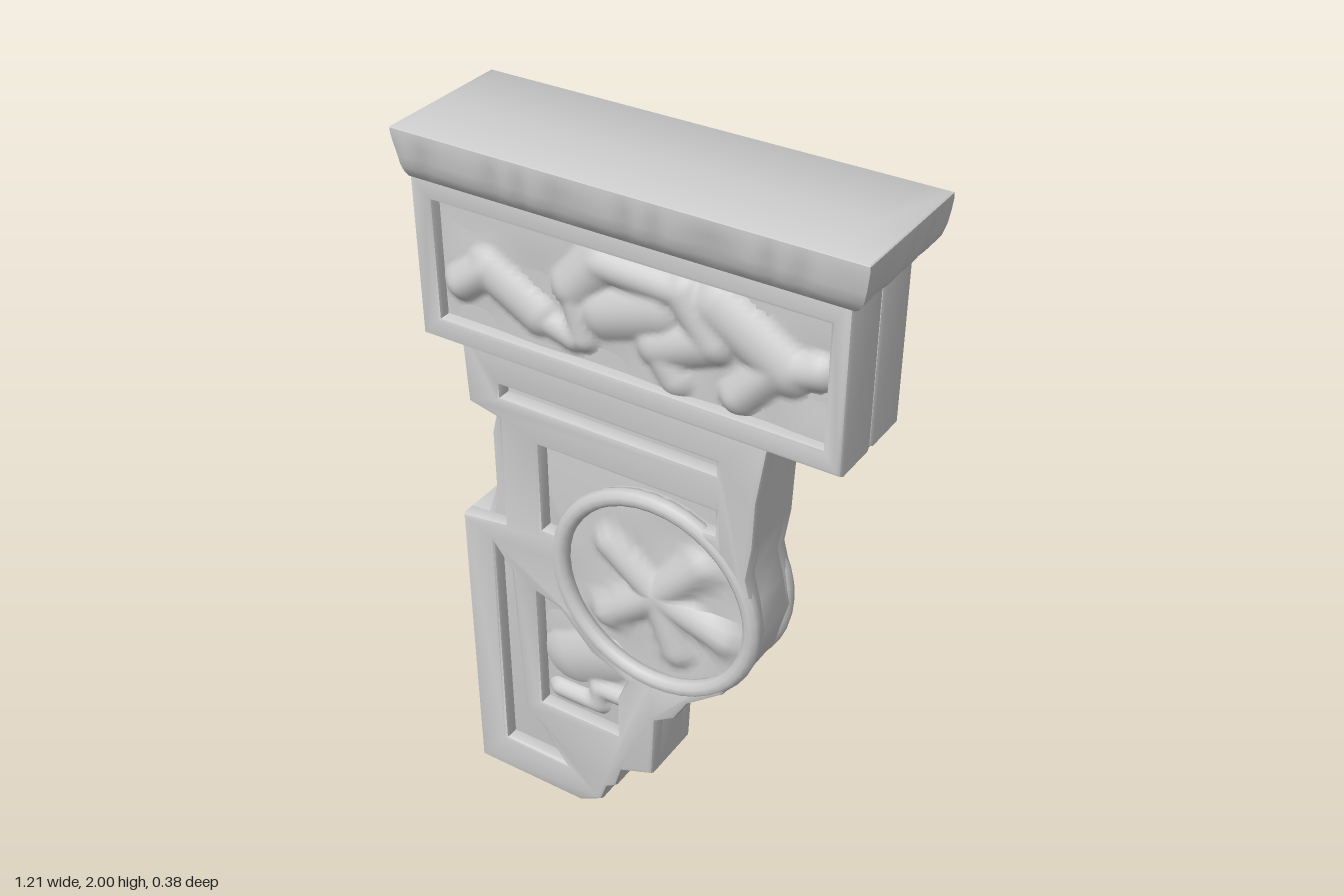
import * as THREE from 'three';
import { toCreasedNormals } from 'three/addons/utils/BufferGeometryUtils.js';

const stone = new THREE.MeshStandardMaterial({ color: 0xcccccc });
const DISC = { x: 0.02, y: 0.85, r: 0.27 };
const vec = (pts) => pts.map(([x, y]) => new THREE.Vector2(x, y));
const rect = (x0, y0, x1, y1) => [[x0, y0], [x1, y0], [x1, y1], [x0, y1]];
const arc = (r, from, to, n) => Array.from({ length: n + 1 }, (_, i) => {
  const a = THREE.MathUtils.degToRad(from + (to - from) * i / n);
  return [DISC.x + r * Math.cos(a), DISC.y + r * Math.sin(a)];
});

function add(group, name, geometry) {
  const mesh = new THREE.Mesh(geometry, stone);
  mesh.name = name;
  group.add(mesh);
}

// Slab between z0 and z1 with bevelled rims, optionally pierced by holes
function slab(outline, z0, z1, holes = [], b = 0.012) {
  const shape = new THREE.Shape(vec(outline));
  shape.holes = holes.map((h) => new THREE.Path(vec(h)));
  const geo = new THREE.ExtrudeGeometry(shape, {
    depth: z1 - z0 - 2 * b, bevelEnabled: b > 0, bevelThickness: b, bevelSize: b, bevelOffset: -b, bevelSegments: 2,
  });
  geo.translate(0, 0, z0 + b);
  return toCreasedNormals(geo, 0.75);
}

// Carved relief: each stroke [x1, y1, x2, y2, radius, height] raises a rounded ridge
function relief(geo, cx, cy, side, base, strokes) {
  if (side < 0) geo.rotateY(Math.PI);
  geo.translate(cx, cy, 0);
  const p = geo.attributes.position;
  for (let i = 0; i < p.count; i++) {
    const x = p.getX(i), y = p.getY(i);
    let h = 0.004 * Math.sin(x * 17) * Math.cos(y * 21);
    for (const [x1, y1, x2, y2, r, top] of strokes) {
      const dx = x2 - x1, dy = y2 - y1;
      const t = THREE.MathUtils.clamp(((x - x1) * dx + (y - y1) * dy) / (dx * dx + dy * dy), 0, 1);
      const d = Math.hypot(x - x1 - t * dx, y - y1 - t * dy) / r;
      if (d < 1) h = Math.max(h, top * (1 - d * d));
    }
    p.setZ(i, side * (base + h));
  }
  geo.computeVertexNormals();
  return geo;
}

// Cornice: stacked rings flaring on three sides, flat on the wall end
function corniceGeometry() {
  const path = []; // [x, z sign, outward x, scallop phase]
  const n = 72, m = 20;
  for (let i = 0; i <= n; i++) path.push([-0.61 + 1.15 * i / n, 1, i / n]);
  for (let i = 1; i < m; i++) path.push([0.54, 1 - 2 * i / m, 1]);
  for (let i = n; i >= 0; i--) path.push([-0.61 + 1.15 * i / n, -1, i / n]);
  const levels = [[1.86, 0, 0], [1.875, 0.016, 0.5], [1.9, 0.032, 1], [1.93, 0.04, 1],
    [1.96, 0.046, 0.5], [1.985, 0.05, 0.1], [1.998, 0.05, 0], [2, 0.047, 0], [2, 0.047, 0]];
  const pos = [], idx = [];
  levels.forEach(([y, out, wave], k) => path.forEach(([x, s, u], i) => {
    const w = wave * 0.011 * (Math.abs(Math.sin(i * 0.42 + Math.sin(i * 0.3))) - 0.6);
    const o = out + w;
    const z = k === levels.length - 1 ? 0 : s * (0.142 + o);
    pos.push(x + (u === 1 ? o + 0.005 : 0), y, z);
  }));
  const c = path.length;
  for (let k = 0; k < levels.length - 1; k++) {
    for (let i = 0; i < c; i++) {
      const a = k * c + i, b = k * c + (i + 1) % c;
      idx.push(a, b, b + c, a, b + c, a + c);
    }
  }
  const geo = new THREE.BufferGeometry();
  geo.setAttribute('position', new THREE.Float32BufferAttribute(pos, 3));
  geo.setIndex(idx);
  return toCreasedNormals(geo, 0.8);
}

export function createModel() {
  const model = new THREE.Group();
  model.name = 'corbelBracket';

  // Bracket outline: stepped foot, round belly, neck, wall side
  const front = [[-0.57, 0], [-0.22, 0], [-0.15, 0.04], [-0.13, 0.1], [-0.1, 0.12], [-0.08, 0.19], [0.02, 0.23],
    [0.03, 0.43], [0.09, 0.47], [0.13, 0.54], [0.23, 0.62], [0.29, 0.71], [0.325, 0.85], [0.31, 0.94],
    [0.29, 1.02], [0.305, 1.12], [0.31, 1.25], [0.34, 1.45]];
  const core = [...front, [-0.53, 1.45], [-0.52, 1.25], [-0.46, 1.23], [-0.48, 1.15], [-0.48, 0.98], [-0.51, 0.89], [-0.57, 0.88]];
  const face = [...front, [-0.53, 1.45], [-0.52, 1.25], [-0.43, 1.23], [-0.43, 0.9], [-0.57, 0.88]];
  add(model, 'bracketCore', slab(core, -0.062, 0.062, [], 0.005));

  // Sunken panels cut into both faces
  const holes = [
    arc(DISC.r, 0, 345, 23),
    [[0.2, 1.12], [0.2, 1.19], [-0.31, 1.19], [-0.31, 0.93], ...arc(0.305, 165, 62, 9)],
    rect(-0.42, 1.295, 0.2, 1.33),
    [[-0.34, 0.32], [-0.09, 0.32], [-0.09, 0.45], [-0.06, 0.53], [-0.17, 0.58], [-0.27, 0.69], [-0.34, 0.71]],
    [[-0.47, 0.12], [-0.27, 0.12], [-0.34, 0.22], [-0.4, 0.27], [-0.42, 0.75], [-0.47, 0.82]],
  ];

  // Medallion carving: a five-armed flower in front, an upright vase of leaves behind
  const flower = [[0.02, 0.83, 0.03, 0.84, 0.08, 0.034]];
  for (const [x, y] of [[0.15, 0.98], [0.22, 0.78], [0.08, 0.68], [-0.13, 0.72], [-0.12, 0.95]]) {
    flower.push([0.02, 0.84, x, y, 0.055, 0.032]);
  }
  const vase = [[0.03, 0.66, 0.02, 0.86, 0.085, 0.036], [0.02, 0.86, 0.1, 1.04, 0.05, 0.032],
    [0.02, 0.86, -0.04, 1.05, 0.045, 0.034], [0.1, 1.04, 0.17, 0.93, 0.04, 0.028],
    [-0.1, 0.7, -0.17, 0.8, 0.06, 0.03], [-0.17, 0.8, -0.12, 0.92, 0.04, 0.024]];

  // Frieze carving: curling leaves, with a plain field left at one end of the back
  const leaves = [[-0.18, 1.68, -0.1, 1.77, 0.06, 0.03], [-0.1, 1.77, 0.12, 1.76, 0.05, 0.034],
    [0.12, 1.76, 0.2, 1.66, 0.06, 0.036], [0.2, 1.66, 0.05, 1.6, 0.06, 0.03], [-0.18, 1.68, -0.15, 1.56, 0.04, 0.026],
    [-0.1, 1.64, 0.05, 1.69, 0.07, 0.03], [0.05, 1.6, 0.1, 1.53, 0.05, 0.026]];
  const frontLeaves = [...leaves, [-0.5, 1.6, -0.42, 1.66, 0.05, 0.032], [-0.42, 1.66, -0.28, 1.58, 0.06, 0.03],
    [-0.28, 1.58, -0.18, 1.55, 0.04, 0.024], [0.2, 1.75, 0.38, 1.65, 0.07, 0.034],
    [0.38, 1.65, 0.46, 1.67, 0.05, 0.03], [0.36, 1.65, 0.26, 1.54, 0.05, 0.03]];
  const backLeaves = [...leaves, [-0.18, 1.7, -0.4, 1.72, 0.07, 0.034], [-0.4, 1.72, -0.48, 1.6, 0.05, 0.03],
    [-0.35, 1.7, -0.28, 1.54, 0.05, 0.032]];

  // Frieze block
  add(model, 'friezeCore', new THREE.BoxGeometry(1.14, 0.43, 0.22).translate(-0.035, 1.655, 0));

  for (const side of [1, -1]) {
    const tag = side > 0 ? 'front' : 'back';
    const layer = (outline, near, far, cuts) => slab(outline, Math.min(side * near, side * far), Math.max(side * near, side * far), cuts);
    add(model, tag + 'BracketFace', layer(face, 0.045, 0.1, holes));

    // Medallion rim and carving
    add(model, tag + 'MedallionRim',
      new THREE.TorusGeometry(0.285, 0.024, 10, 40).translate(DISC.x, DISC.y, side * 0.082));
    add(model, tag + 'MedallionCarving',
      relief(new THREE.RingGeometry(0.001, 0.285, 48, 18), DISC.x, DISC.y, side, 0.067, side > 0 ? flower : vase));

    // Angular key and leaf in the lower panel
    const key = [[-0.3, 0.37, -0.17, 0.37], [-0.17, 0.37, -0.17, 0.43], [-0.17, 0.43, -0.1, 0.43]]
      .map((s) => [...s, 0.035, 0.026]);
    key.push([-0.26, 0.5, -0.15, 0.55, 0.09, 0.026]);
    add(model, tag + 'LowerPanelCarving',
      relief(new THREE.PlaneGeometry(0.27, 0.38, 24, 34), -0.205, 0.51, side, 0.06, key));

    // Frieze frame and carving
    add(model, tag + 'FriezeFrame',
      layer(rect(-0.61, 1.44, 0.54, 1.875), 0.0, 0.142, [rect(-0.55, 1.5, 0.49, 1.81)]));
    add(model, tag + 'FriezeCarving',
      relief(new THREE.PlaneGeometry(1.06, 0.33, 90, 30), -0.03, 1.655, side, 0.112, side > 0 ? frontLeaves : backLeaves));
  }
  // Raised square border on the plain end of the back frieze
  add(model, 'backFriezeSquare', slab(rect(0.25, 1.5, 0.49, 1.81), -0.13, -0.1, [rect(0.29, 1.54, 0.45, 1.77)], 0.008));

  add(model, 'cornice', corniceGeometry());
  return model;
}
